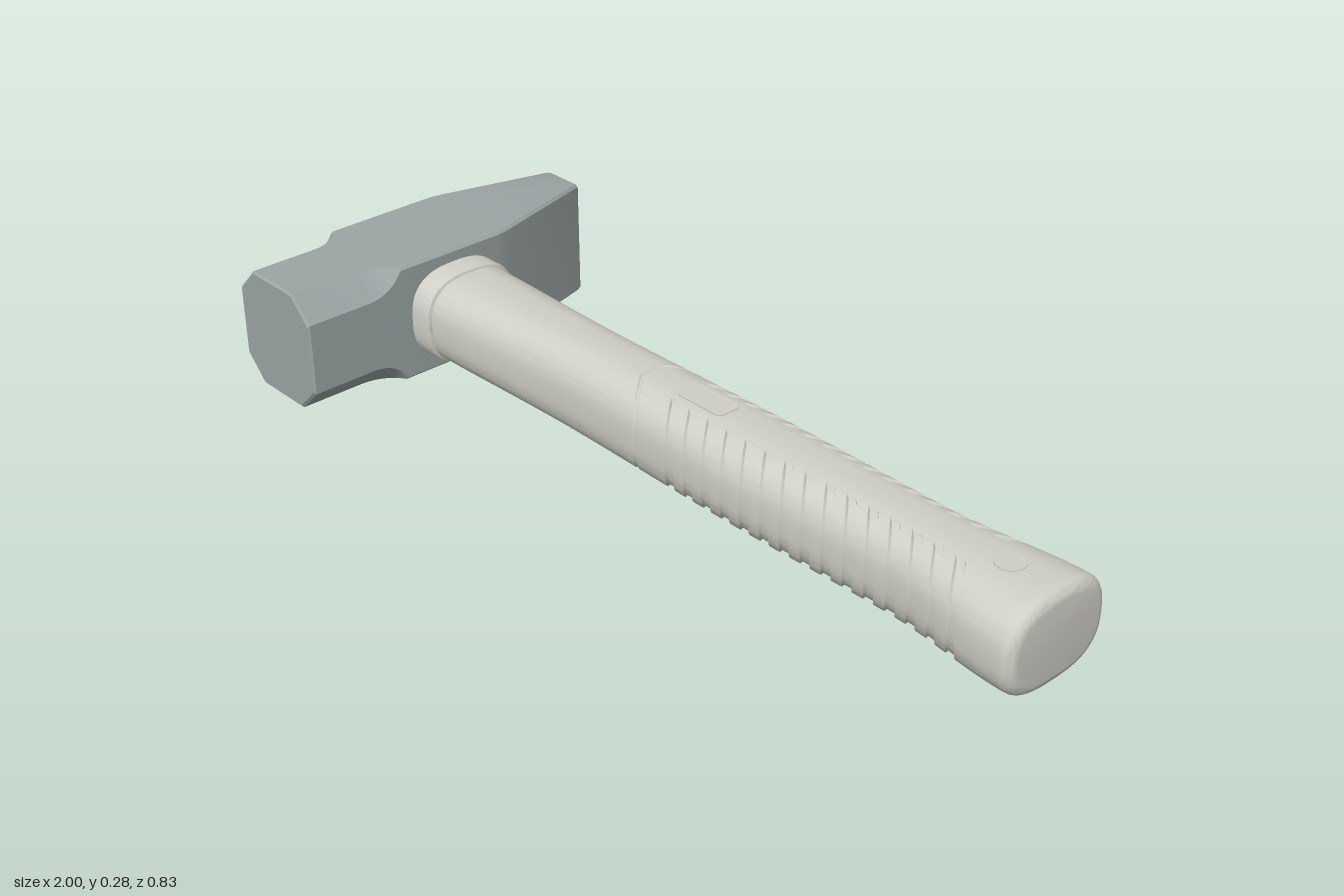
import * as THREE from 'three';
import { toCreasedNormals } from 'three/addons/utils/BufferGeometryUtils.js';

const CY = 0.141, CZ = 0.021; // handle axis
const HEAD_X = -0.8675, HEAD_Y = 0.14;

// Skin a list of closed rings (arrays of [x, y, z]) and cap both ends
function loft(rings, crease) {
  const n = rings[0].length, pos = rings.flat(2), idx = [];
  for (let i = 0; i < rings.length - 1; i++) {
    for (let j = 0; j < n; j++) {
      const k = (j + 1) % n, a = i * n + j, b = i * n + k;
      idx.push(a, a + n, b, b, a + n, b + n);
    }
  }
  const last = (rings.length - 1) * n;
  for (let j = 1; j < n - 1; j++) {
    idx.push(0, j, j + 1, last, last + j + 1, last + j);
  }
  const g = new THREE.BufferGeometry();
  g.setAttribute('position', new THREE.Float32BufferAttribute(pos, 3));
  g.setIndex(idx);
  return toCreasedNormals(g, crease);
}

// Rounded oval as unit [z, y] points
const OVAL = Array.from({ length: 80 }, (_, i) => {
  const t = (i / 80) * Math.PI * 2, f = (v) => Math.sign(v) * Math.abs(v) ** (2 / 2.7);
  return [f(Math.cos(t)), f(Math.sin(t))];
});

// Linear interpolation through [x, value] pairs, smoothed
function sample(table, x) {
  let i = 0;
  while (i < table.length - 2 && x > table[i + 1][0]) i++;
  const [x0, a] = table[i], [x1, b] = table[i + 1];
  return a + (b - a) * THREE.MathUtils.smoothstep(x, x0, x1);
}

// Cross peen head: chamfered rectangles from the striking face to the peen
function headGeometry() {
  const stations = [ // z, half width, half height, corner chamfer
    [0.415, 0.128, 0.136, 0.056],
    [0.41, 0.1325, 0.14, 0.056],
    [0.25, 0.1325, 0.14, 0.056],
  ];
  const r = 0.093; // scooped run-out of the corner chamfers
  for (let i = 1; i <= 10; i++) {
    const d = 0.085 * Math.sin((i / 10) * Math.PI / 2);
    const c = 0.055 - r + Math.sqrt(r * r - d * d);
    stations.push([0.25 - d, 0.1325, 0.14, Math.max(c, 0.006)]);
  }
  stations.push(
    [-0.105, 0.1325, 0.14, 0.006],
    [-0.12, 0.131, 0.14, 0.006],
    [-0.135, 0.128, 0.14, 0.006],
    [-0.402, 0.056, 0.14, 0.006],
    [-0.411, 0.052, 0.137, 0.006],
    [-0.415, 0.046, 0.131, 0.006],
  );
  const rings = stations.map(([z, w, h, c]) => [
    [w, c - h], [w, h - c], [w - c, h], [c - w, h],
    [-w, h - c], [-w, c - h], [c - w, -h], [w - c, -h],
  ].map(([x, y]) => [HEAD_X + x, HEAD_Y + y, z]));
  return loft(rings, 0.4);
}

// Plain oval sleeve between head and handle
function collarGeometry() {
  const rings = [[-0.76, 0], [-0.684, 0], [-0.678, 0.002], [-0.675, 0.007]].map(([x, inset]) =>
    OVAL.map(([z, y]) => [x, CY + y * (0.11 - inset), CZ + z * (0.123 - inset)]));
  return loft(rings, 0.7);
}

// Handle with a waist, flared butt and chevron grip grooves
function handleGeometry() {
  const halfZ = [[-0.7, 0.114], [-0.25, 0.101], [0.25, 0.111], [0.67, 0.103], [0.97, 0.135], [1.01, 0.136]];
  const stations = []; // x, groove depth, kind
  const add = (x, depth = 0, grip = false, inset = 0) => stations.push({ x, depth, grip, inset });
  for (let i = 0; i <= 14; i++) add(-0.7 + i * 0.047);
  // seam line where the grip begins
  add(-0.012); add(-0.009, 0.003); add(-0.003, 0.003); add(0); add(0.04);
  for (let i = 0; i < 15; i++) {
    const c = 0.1 + i * 0.054;
    add(c - 0.013, 0, true); add(c - 0.01, 0.0055, true);
    add(c + 0.01, 0.0055, true); add(c + 0.013, 0, true);
  }
  for (let i = 0; i < 6; i++) add(0.89 + i * 0.0165);
  for (let i = 1; i <= 6; i++) { // rounded butt edge
    const a = (i / 6) * Math.PI / 2;
    add(0.975 + 0.025 * Math.sin(a), 0, false, 0.025 * (1 - Math.cos(a)));
  }
  const rings = stations.map(({ x, depth, grip, inset }) => {
    const bend = THREE.MathUtils.smoothstep(x, -0.6, -0.012) * (1 - THREE.MathUtils.smoothstep(x, 0.86, 0.975));
    return OVAL.map(([z, y]) => {
      const side = Math.max(Math.abs(z), 0.3);
      const px = x - 0.085 * (1 - side) * bend;
      const d = inset + (grip && Math.abs(z) < 0.42 ? 0 : depth);
      return [px, CY + y * (0.103 - d), CZ + z * (sample(halfZ, px) - d)];
    });
  });
  return loft(rings, 0.55);
}

// Inlay running through the handle, showing slightly on top and bottom
function inlayGeometry(w, d, r) {
  const s = new THREE.Shape(), x = w / 2 - r, y = d / 2 - r;
  s.absarc(x, y, r, 0, Math.PI / 2);
  s.absarc(-x, y, r, Math.PI / 2, Math.PI);
  s.absarc(-x, -y, r, Math.PI, Math.PI * 1.5);
  s.absarc(x, -y, r, Math.PI * 1.5, Math.PI * 2);
  const g = new THREE.ExtrudeGeometry(s, { depth: 0.209, bevelEnabled: false, curveSegments: 8 });
  return g.translate(0, 0, -0.1045).rotateX(-Math.PI / 2);
}

export function createModel() {
  const group = new THREE.Group();
  const steel = new THREE.MeshStandardMaterial({ color: 0x9ca5a5 });
  const grip = new THREE.MeshStandardMaterial({ color: 0xcfcfc6 });
  const part = (name, geometry, material) => {
    const mesh = new THREE.Mesh(geometry, material);
    mesh.name = name;
    group.add(mesh);
    return mesh;
  };
  part('head', headGeometry(), steel);
  part('collar', collarGeometry(), grip);
  part('handle', handleGeometry(), grip);
  part('labelInlay', inlayGeometry(0.13, 0.062, 0.015), grip).position.set(0.1, CY, CZ);
  part('buttInlay', inlayGeometry(0.06, 0.06, 0.028), grip).position.set(0.88, CY, CZ);
  return group;
}
